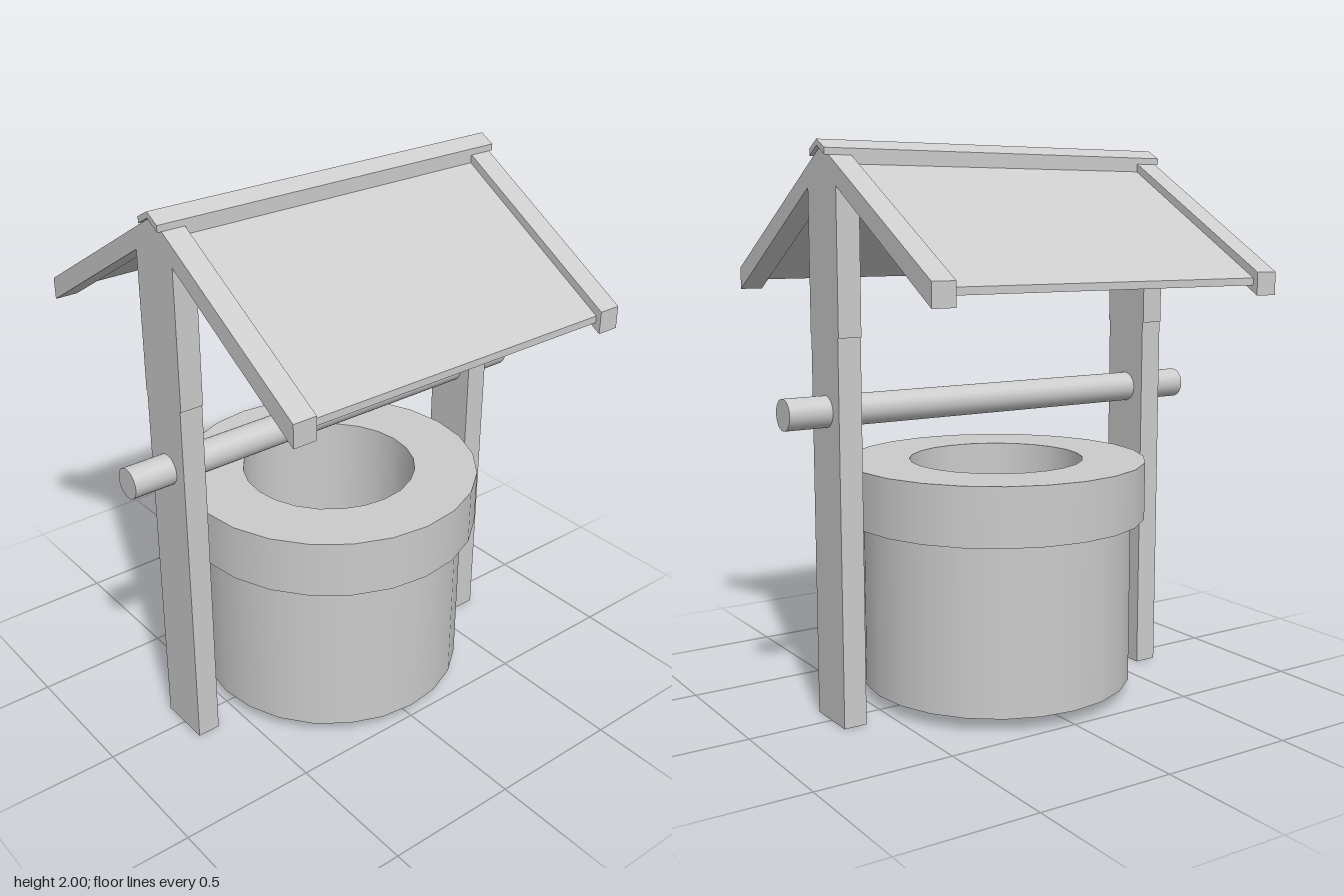
import * as THREE from 'three';

const material = new THREE.MeshStandardMaterial({ color: 0xcccccc });
const openMaterial = new THREE.MeshStandardMaterial({ color: 0xcccccc, side: THREE.DoubleSide });

function addMesh(parent, name, geometry, mat = material) {
  const mesh = new THREE.Mesh(geometry, mat);
  mesh.name = name;
  parent.add(mesh);
  return mesh;
}

// Extrudes an x/y outline between two depths
function slab(points, z0, z1) {
  const shape = new THREE.Shape(points.map(([x, y]) => new THREE.Vector2(x, y)));
  return new THREE.ExtrudeGeometry(shape, { depth: z1 - z0, bevelEnabled: false }).translate(0, 0, z0);
}

// Completes a right-hand outline with its mirror image
const mirrored = (half) => [...half, ...half.filter(([x]) => x > 0).reverse().map(([x, y]) => [-x, y])];

// Open wall of a round part
const wall = (radius, y0, y1) =>
  new THREE.CylinderGeometry(radius, radius, y1 - y0, 24, 1, true).translate(0, (y0 + y1) / 2, 0);

// Flat horizontal ring or disc
const ring = (inner, outer, y) => {
  const g = inner > 0 ? new THREE.RingGeometry(inner, outer, 24) : new THREE.CircleGeometry(outer, 24);
  return g.rotateX(-Math.PI / 2).translate(0, y, 0);
};

export function createModel() {
  const model = new THREE.Group();
  model.name = 'well';

  // Round well: outer wall open below, wider collar, inner shaft with floor
  const basin = new THREE.Group();
  basin.name = 'basin';
  model.add(basin);
  addMesh(basin, 'outerWall', wall(0.5, 0.05, 0.66), openMaterial);
  addMesh(basin, 'collarWall', wall(0.55, 0.66, 0.87), openMaterial);
  addMesh(basin, 'collarUnderside', ring(0.5, 0.55, 0.66), openMaterial);
  addMesh(basin, 'collarTop', ring(0.32, 0.55, 0.87), openMaterial);
  addMesh(basin, 'shaftWall', wall(0.32, 0.1, 0.87), openMaterial);
  addMesh(basin, 'shaftFloor', ring(0, 0.32, 0.1), openMaterial);

  // Posts branching into the sloping gable arms
  const frame = [[0, 1.98], ...[[0.71, 1.56], [0.71, 1.48], [0.105, 1.845], [0.105, 1.35], [0.1, 1.35], [0.1, 0]]];
  addMesh(model, 'frontPost', slab(mirrored(frame), 0.605, 0.69));
  addMesh(model, 'backPost', slab(mirrored(frame), -0.69, -0.605));

  // Thin roof panels set between the gables
  for (const side of [1, -1]) {
    const panel = [[0.05, 1.92], [0.69, 1.54], [0.69, 1.515], [0.05, 1.895]].map(([x, y]) => [side * x, y]);
    addMesh(model, side > 0 ? 'leftRoofPanel' : 'rightRoofPanel', slab(panel, -0.605, 0.605));
  }

  // Ridge beam between the panels and the cap above it
  const beam = [[0, 1.98], [0.052, 1.95], [0.052, 1.893], [0, 1.92]];
  addMesh(model, 'ridgeBeam', slab(
    [...beam.slice(0, 3), beam[3], [-0.052, 1.893], [-0.052, 1.95]], -0.605, 0.605));
  addMesh(model, 'ridgeCap', slab(
    [[0, 2], [0.055, 1.97], [0.055, 1.947], [0, 1.979], [-0.055, 1.947], [-0.055, 1.97]], -0.705, 0.705));

  // Winding roller through both posts
  addMesh(model, 'roller', new THREE.CylinderGeometry(0.055, 0.055, 1.695, 24)
    .rotateX(Math.PI / 2).translate(0, 1.095, 0));

  return model;
}
